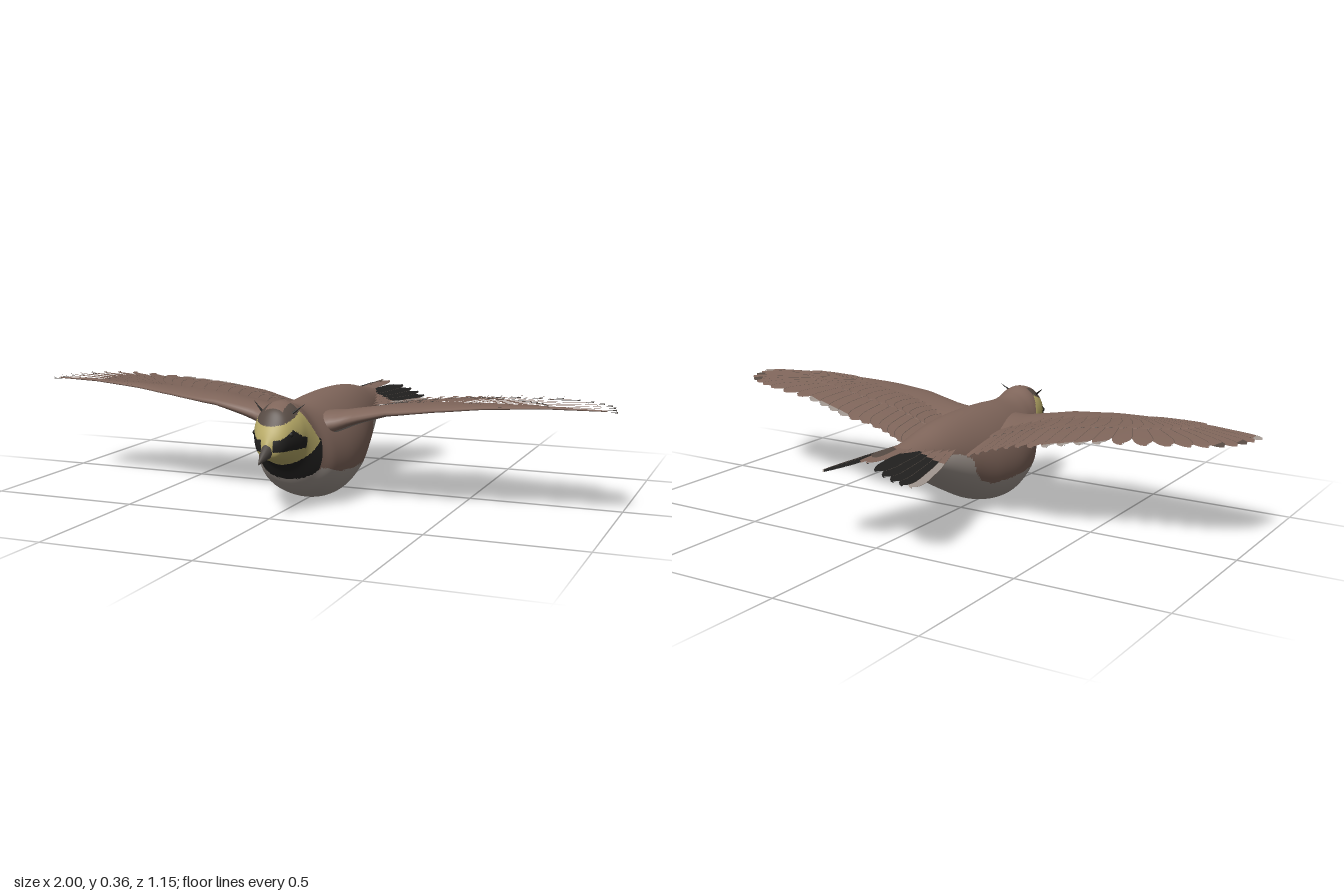
import * as THREE from 'three';

const mat = (name, color) => {
  const m = new THREE.MeshStandardMaterial({ color });
  m.name = name;
  return m;
};
const BROWN = 0, PALE = 1, YELLOW = 2, BLACK = 3, UNDER = 4, BEAK = 5, CROWN = 6;

// piecewise linear lookup in [[x, y], ...]
function lookup(table, x) {
  for (let i = 1; i < table.length; i++) {
    const [x0, y0] = table[i - 1], [x1, y1] = table[i];
    if (x <= x1 || i === table.length - 1) {
      return THREE.MathUtils.lerp(y0, y1, THREE.MathUtils.clamp((x - x0) / (x1 - x0), 0, 1));
    }
  }
}

// grid surface; paint(centroid, u, v) picks the material of each face
function skin(name, mats, nu, nv, closed, flip, point, paint) {
  const pos = [], cols = closed ? nv : nv + 1;
  for (let i = 0; i <= nu; i++) {
    for (let j = 0; j < cols; j++) pos.push(...point(i / nu, j / nv));
  }
  const buckets = mats.map(() => []);
  const at = (k) => new THREE.Vector3().fromArray(pos, k * 3);
  for (let i = 0; i < nu; i++) {
    for (let j = 0; j < nv; j++) {
      const k = (j + 1) % cols;
      const a = i * cols + j, b = a + cols, c = (i + 1) * cols + k, d = i * cols + k;
      for (const t of [[a, b, c], [a, c, d]]) {
        const mid = at(t[0]).add(at(t[1])).add(at(t[2])).divideScalar(3);
        buckets[paint(mid, (i + 0.5) / nu, (j + 0.5) / nv)].push(...(flip ? t.reverse() : t));
      }
    }
  }
  const g = new THREE.BufferGeometry();
  g.setAttribute('position', new THREE.Float32BufferAttribute(pos, 3));
  g.setIndex(buckets.flat());
  let start = 0;
  buckets.forEach((b, m) => {
    if (b.length) g.addGroup(start, b.length, m);
    start += b.length;
  });
  g.computeVertexNormals();
  const mesh = new THREE.Mesh(g, mats);
  mesh.name = name;
  return mesh;
}

// body stations: z, top, bottom, half width
const STATIONS = [
  [0.52, 0.24, 0.205, 0.008], [0.5, 0.285, 0.188, 0.042], [0.47, 0.335, 0.178, 0.063],
  [0.43, 0.355, 0.165, 0.08], [0.39, 0.359, 0.14, 0.09], [0.34, 0.343, 0.075, 0.108],
  [0.28, 0.335, 0.035, 0.135], [0.17, 0.342, 0.003, 0.153], [0.05, 0.346, 0.022, 0.148],
  [-0.07, 0.344, 0.076, 0.125], [-0.17, 0.334, 0.128, 0.102], [-0.27, 0.314, 0.185, 0.077],
  [-0.35, 0.3, 0.235, 0.052], [-0.41, 0.291, 0.258, 0.028], [-0.45, 0.285, 0.278, 0.002],
];
const spline = (pts) => new THREE.CatmullRomCurve3(pts, false, 'catmullrom', 0.5);

// plumage pattern of the head and body
const BELLY = [[-0.35, 0.27], [-0.16, 0.245], [-0.11, 0.22], [-0.09, 0.17], [-0.05, 0.13], [0, 0.108], [0.25, 0.115], [0.33, 0.14]];
function plumage(p) {
  const { y, z } = p, ax = Math.abs(p.x);
  if (z > 0.33) {
    if (y > 0.331 - (z - 0.4) * 0.4) return z > 0.4 && (ax > 0.03 || z > 0.46) ? CROWN : BROWN;
    if (z > 0.34 + (y - 0.23) * 0.6 && y > 0.57 - z) {
      const maskTop = lookup([[0.4, 0.25], [0.425, 0.255], [0.46, 0.28], [0.5, 0.252]], z);
      return ax > 0.02 && z > 0.4 && y > 0.215 && y < maskTop ? BLACK : YELLOW;
    }
    if (y < 0.136 - (z - 0.33) * 1.16) return PALE;
    return y < 0.236 && z > 0.335 ? BLACK : BROWN;
  }
  return y < lookup(BELLY, z) ? PALE : BROWN;
}

// height and plan of the wing
const RISE = [[0.05, 0.262], [0.13, 0.277], [0.2, 0.298], [0.3, 0.323], [0.45, 0.34], [0.6, 0.35], [0.8, 0.355], [1, 0.35]];
const LEADING = [[0.05, 0.31], [0.1, 0.285], [0.165, 0.272], [0.25, 0.278], [0.33, 0.288], [0.42, 0.288], [0.5, 0.277],
  [0.6, 0.255], [0.83, 0.205], [0.97, 0.172]];
const CHORD = [[0.05, 0.25], [0.2, 0.2], [0.4, 0.19], [0.6, 0.11], [0.83, 0.03], [0.97, 0.008]];
const THICK = [[0.05, 0.065], [0.13, 0.046], [0.2, 0.033], [0.3, 0.021], [0.4, 0.015], [0.6, 0.009], [0.97, 0.003]];
const wingY = (x, z) => lookup(RISE, x) - (z - 0.15) ** 2 * 0.5 * (1 - 0.8 * x);

// thin feather with an upper and a lower face, following a height function
function feather(name, mats, s, root, tip, w, heightAt, [base, top, under, end]) {
  const g = new THREE.Group();
  g.name = name;
  const dx = tip[0] - root[0], dz = tip[1] - root[1], len = Math.hypot(dx, dz);
  const sheet = (drop) => (u, v) => {
    const t = Math.sin(u * Math.PI / 2), q = Math.sin((v - 0.5) * Math.PI);
    const wide = w * (0.4 + 0.6 * Math.min(1, t * 2)) * Math.sqrt(Math.max(0, 1 - Math.max(0, (t - 0.8) / 0.2) ** 2));
    const x = root[0] + dx * t + dz / len * q * wide;
    const z = root[1] + dz * t - dx / len * q * wide;
    return [s * x, heightAt(x, z) - q * 0.003 - drop, z];
  };
  g.add(skin(name + 'Upper', mats, 12, 10, false, s < 0, sheet(0),
    (p, u, v) => (v < 0.1 ? CROWN : u > 0.72 ? end : u < 0.25 ? base : top)));
  g.add(skin(name + 'Lower', mats, 12, 10, false, s > 0, sheet(0.003), () => under));
  return g;
}

function makeWing(mats, s) {
  const wing = new THREE.Group();
  wing.name = s > 0 ? 'leftWing' : 'rightWing';
  // muscled arm along the leading edge, brown wrapped round its front
  wing.add(skin('wingArm', mats, 48, 24, true, s < 0, (u, v) => {
    const x = 0.05 + 0.92 * u, a = v * Math.PI * 2, c = lookup(CHORD, x);
    const z = lookup(LEADING, x) - c / 2 + Math.cos(a) * c / 2;
    return [s * x, wingY(x, z) + Math.sin(a) * lookup(THICK, x) * (0.6 + 0.4 * Math.cos(a)), z];
  }, (p, u, v) => (v < 0.5 || v > 0.9 ? BROWN : UNDER)));
  // flight feathers from wing tip to body, with a row of coverts over them
  const v3 = ([x, z]) => new THREE.Vector3(x, 0, z);
  const tips = spline([[1, 0.165], [0.955, 0.035], [0.81, -0.05], [0.57, -0.1], [0.39, -0.145], [0.24, -0.14], [0.13, -0.15]].map(v3));
  const roots = spline([[0.62, 0.235], [0.56, 0.21], [0.5, 0.18], [0.3, 0.15], [0.13, 0.13]].map(v3));
  const count = 21;
  for (let i = 0; i < count; i++) {
    const u = i / (count - 1), r = roots.getPoint(u), t = tips.getPoint(u);
    const w = THREE.MathUtils.lerp(0.021, 0.036, Math.min(1, u * 1.6));
    const end = i === 0 || (i > 9 && i < 14) ? PALE : i === 2 || i === 4 ? CROWN : BROWN;
    wing.add(feather('flightFeather', mats, s, [r.x, r.z], [t.x, t.z], w,
      (x, z) => wingY(x, z) + i * 0.0003, [BROWN, BROWN, UNDER, end]));
    const m = r.clone().lerp(t, 0.48);
    wing.add(feather('covert', mats, s, [r.x, r.z], [m.x, m.z], w * 0.9,
      (x, z) => wingY(x, z) + 0.005 + i * 0.0003, [BROWN, BROWN, UNDER, BROWN]));
  }
  return wing;
}

// fanned tail, each half sloping down outward
function makeTailHalf(mats, s) {
  const tail = new THREE.Group();
  tail.name = s > 0 ? 'leftTail' : 'rightTail';
  const tips = [[0.012, -0.555], [0.058, -0.573], [0.09, -0.577], [0.12, -0.575], [0.147, -0.565], [0.168, -0.545]];
  tips.forEach((tip, i) => {
    const c = i === 0 ? BROWN : i === 5 ? PALE : BLACK;
    tail.add(feather('tailFeather', mats, s, [0.01 + i * 0.014, -0.17], tip, i === 0 ? 0.02 : 0.026,
      (x) => 0.3 - 0.28 * Math.abs(x) - i * 0.0025, [BROWN, c, i === 5 ? PALE : BLACK, c]));
  });
  return tail;
}

export function createModel() {
  const mats = [
    mat('brown plumage', 0x80665b), mat('pale plumage', 0xa0968f), mat('yellow face', 0xbcae6a),
    mat('black markings', 0x21201f), mat('grey underwing', 0x928982), mat('beak grey', 0x4e4844),
    mat('dark crown', 0x574b44),
  ];
  const bird = new THREE.Group();
  bird.name = 'bird';

  // head and body in one skin
  const outline = spline(STATIONS.map(([z, t, b]) => new THREE.Vector3(z, t, b)));
  const girth = spline(STATIONS.map(([z, , , w]) => new THREE.Vector3(z, w, 0)));
  bird.add(skin('body', mats, 170, 120, true, false, (u, v) => {
    const o = outline.getPoint(u), w = girth.getPoint(u).y, a = v * Math.PI * 2;
    const sy = Math.sin(a), egg = THREE.MathUtils.lerp(0.14, 0.03, THREE.MathUtils.smoothstep(o.x, 0.28, 0.4));
    return [w * Math.cos(a) * (1 - egg * sy), (o.y + o.z) / 2 + sy * (o.y - o.z) / 2, o.x];
  }, plumage));

  // curved beak
  bird.add(skin('beak', mats, 12, 16, true, true, (u, v) => {
    const a = v * Math.PI * 2, k = 1 - u ** 1.3;
    return [Math.cos(a) * 0.021 * k, 0.224 - 0.038 * u ** 1.2 + Math.sin(a) * 0.029 * k, 0.495 + 0.083 * u];
  }, () => BEAK));

  for (const s of [1, -1]) {
    bird.add(makeWing(mats, s), makeTailHalf(mats, s));
    // eye
    const eye = new THREE.Mesh(new THREE.SphereGeometry(0.009, 12, 8), mats[BLACK]);
    eye.name = 'eye';
    eye.position.set(s * 0.06, 0.266, 0.466);
    bird.add(eye);
    // slim feather horn
    const from = new THREE.Vector3(s * 0.045, 0.322, 0.435), to = new THREE.Vector3(s * 0.09, 0.358, 0.415);
    const horn = new THREE.Mesh(new THREE.ConeGeometry(0.005, from.distanceTo(to), 8), mats[BLACK]);
    horn.name = 'hornTuft';
    horn.position.copy(from).lerp(to, 0.5);
    horn.quaternion.setFromUnitVectors(new THREE.Vector3(0, 1, 0), to.sub(from).normalize());
    bird.add(horn);
  }

  // dark streak on the middle of the tail
  bird.add(feather('tailStreak', mats, 1, [0, -0.39], [0, -0.51], 0.014, () => 0.304, [CROWN, CROWN, CROWN, CROWN]));
  return bird;
}
